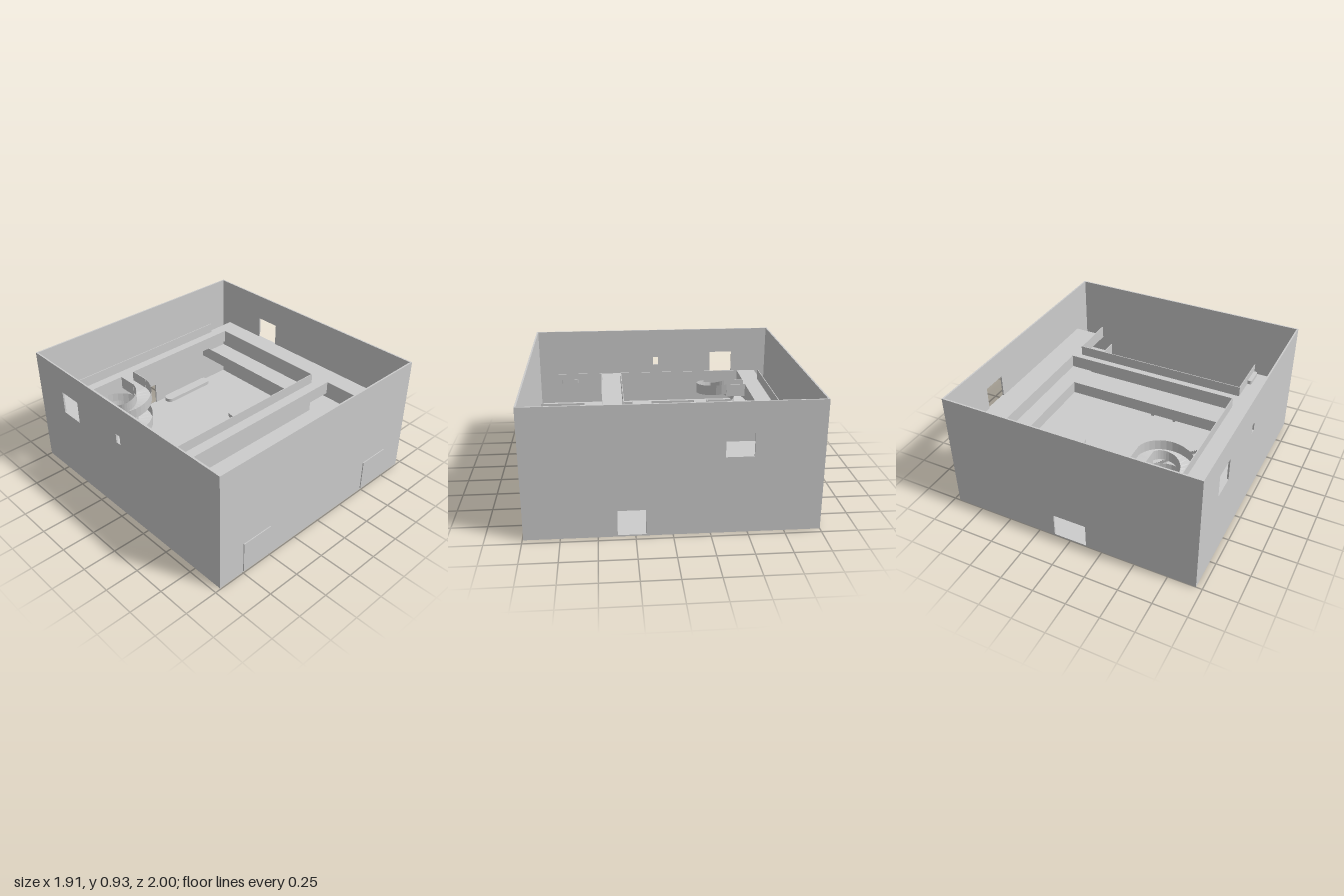
import * as THREE from 'three';

const concrete = new THREE.MeshStandardMaterial({ color: 0xcccccc, side: THREE.DoubleSide });
concrete.name = 'pale grey';

const UPPER = 0.55, MID = 0.29, SLAB = 0.02, RAIL = 0.08, WALL = 0.012;
const W = 0.955, BACK = -1, FRONT = 0.993, H = 0.93;

export function createModel() {
  const model = new THREE.Group();
  model.name = 'building';

  const add = (name, geometry, x = 0, y = 0, z = 0) => {
    const mesh = new THREE.Mesh(geometry, concrete);
    mesh.name = name;
    mesh.position.set(x, y, z);
    model.add(mesh);
    return mesh;
  };
  // Box given by its limits
  const box = (name, x0, x1, y0, y1, z0, z1) =>
    add(name, new THREE.BoxGeometry(x1 - x0, y1 - y0, z1 - z0), (x0 + x1) / 2, (y0 + y1) / 2, (z0 + z1) / 2);
  const polygon = pts => pts.map(([a, b]) => new THREE.Vector2(a, b));
  const rect = ([a0, a1, b0, b1]) => polygon([[a0, b0], [a1, b0], [a1, b1], [a0, b1]]);

  // Upright wall with rectangular openings
  const wall = (a0, a1, openings) => {
    const shape = new THREE.Shape(rect([a0, a1, 0, H]));
    openings.forEach(o => shape.holes.push(new THREE.Path(rect(o))));
    return new THREE.ExtrudeGeometry(shape, { depth: WALL, bevelEnabled: false });
  };
  // Horizontal plate from an outline in x and z, measured down from its top
  const plate = (name, shape, top, depth) =>
    add(name, new THREE.ExtrudeGeometry(shape, { depth, bevelEnabled: false, curveSegments: 10 }).rotateX(Math.PI / 2), 0, top);
  // Thin guard wall standing on a slab edge, fascia included
  const rail = (name, level, x0, z0, x1, z1) => {
    const t = 0.003;
    box(name, Math.min(x0, x1) - t, Math.max(x0, x1) + t, level - SLAB, level + RAIL, Math.min(z0, z1) - t, Math.max(z0, z1) + t);
  };
  // Low block with rounded ends
  const roundedBench = (name, x0, x1, z0, z1, top, height, r) => {
    const s = new THREE.Shape();
    s.absarc(x1 - r, z0 + r, r, -Math.PI / 2, 0);
    s.absarc(x1 - r, z1 - r, r, 0, Math.PI / 2);
    s.absarc(x0 + r, z1 - r, r, Math.PI / 2, Math.PI);
    s.absarc(x0 + r, z0 + r, r, Math.PI, Math.PI * 1.5);
    plate(name, s, top, height);
  };

  // Shell
  box('groundFloor', -W, W, 0, 0.01, BACK, FRONT);
  add('backWall', wall(-W, W, [[-0.125, 0.128, 0.01, 0.19]]), 0, 0, BACK);
  add('frontWall', wall(-W, W, []), 0, 0, FRONT - WALL);
  add('leftWall', wall(BACK, FRONT, [[-0.53, -0.34, 0.55, 0.725], [0.18, 0.37, 0.01, 0.19]]).rotateY(-Math.PI / 2), W);
  add('rightWall', wall(BACK, FRONT, [[-0.69, -0.5, 0.55, 0.725], [-0.045, 0, 0.62, 0.69]]).rotateY(-Math.PI / 2), -W + WALL);
  for (const s of [-1, 1]) {
    box('frontDoor', s * 0.62 - 0.125, s * 0.62 + 0.125, 0.012, 0.255, FRONT - 0.002, 1);
  }

  // Upper floor around the big opening
  const e = W - WALL, i = 0.69;
  const upper = new THREE.Shape(polygon([
    [-e, -0.9], [-i, -0.9], [-i, -0.88], [i, -0.88], [i, -0.9], [e, -0.9],
    [e, 0.81], [i, 0.81], [i, 0.45], [-i, 0.45], [-i, 0.81], [-e, 0.81]]));
  upper.holes.push(new THREE.Path(rect([-i, i, -0.7, 0.29])));
  plate('upperFloor', upper, UPPER, SLAB);

  // Middle floor: two side galleries joined by a bridge
  plate('middleFloor', new THREE.Shape(polygon([
    [-e, -0.985], [-i, -0.985], [-i, 0.29], [i, 0.29], [i, -0.985], [e, -0.985],
    [e, 0.97], [i, 0.97], [i, 0.6], [-i, 0.6], [-i, 0.97], [-e, 0.97]])), MID, SLAB);

  // Guard walls
  for (const s of [-1, 1]) {
    rail('upperGuard', UPPER, s * i, -0.7, s * i, 0.29);
    rail('upperFrontGuard', UPPER, s * i, 0.45, s * i, 0.81);
    rail('middleFrontGuard', MID, s * i, 0.6, s * i, 0.97);
  }
  for (const z of [-0.88, 0.29, 0.45]) rail('upperCrossGuard', UPPER, -i, z, i, z);
  rail('upperBackGuard', UPPER, -i, -0.7, -0.42, -0.7);
  rail('upperBackGuard', UPPER, -0.305, -0.7, i, -0.7);
  for (const z of [0.29, 0.6]) rail('middleCrossGuard', MID, -i, z, i, z);
  rail('middleGuard', MID, i, -0.985, i, 0.29);
  for (const [a, b] of [[-0.985, -0.45], [-0.335, 0.03], [0.2, 0.29]]) rail('middleGuard', MID, -i, a, -i, b);

  // Spiral ramp, a U-shaped channel turning one and a quarter times
  const cx = -0.52, cz = -0.55, r0 = 0.1, r1 = 0.215, steps = 40;
  const section = [[r0, RAIL], [r0, 0], [r1, 0], [r1, RAIL]];
  const at = (k, [r, dy]) => {
    const a = (k / steps) * Math.PI * 2.5;
    return [cx + r * Math.cos(a), UPPER + (MID - UPPER) * (k / steps) + dy, cz + r * Math.sin(a)];
  };
  const verts = [];
  for (let k = 0; k < steps; k++) {
    for (let j = 0; j < 3; j++) {
      const a = at(k, section[j]), b = at(k, section[j + 1]);
      const c = at(k + 1, section[j + 1]), d = at(k + 1, section[j]);
      verts.push(...a, ...c, ...b, ...a, ...d, ...c);
    }
  }
  const spiral = new THREE.BufferGeometry();
  spiral.setAttribute('position', new THREE.Float32BufferAttribute(verts, 3));
  spiral.computeVertexNormals();
  add('spiralRamp', spiral);

  // Landings at both ends of the spiral
  box('spiralTopLanding', -0.42, -0.305, UPPER - SLAB, UPPER, -0.7, cz);
  rail('spiralTopGuard', UPPER, -0.42, -0.7, -0.42, cz);
  rail('spiralTopGuard', UPPER, -0.305, -0.7, -0.305, cz);
  box('spiralLowerLanding', -i, cx, MID - SLAB, MID, -0.45, -0.335);
  rail('spiralLowerGuard', MID, -i, -0.45, cx, -0.45);
  rail('spiralLowerGuard', MID, -i, -0.335, cx, -0.335);

  // Curved stair from the middle floor to the ground
  box('stairLanding', -i, -0.57, MID - SLAB, MID, 0.03, 0.2);
  const treads = 28, sweep = Math.PI / 6, sx = -0.57, sz = -0.84;
  for (let k = 0; k < treads; k++) {
    const a0 = Math.PI / 2 - (k / treads) * sweep, a1 = a0 - sweep / treads;
    const p = (r, a) => [sx + r * Math.cos(a), sz + r * Math.sin(a)];
    const top = MID - (MID - 0.01) * (k + 1) / (treads + 1);
    plate('stairTread', new THREE.Shape(polygon([p(0.87, a1), p(1.04, a1), p(1.04, a0), p(0.87, a0)])),
      top, Math.min(0.03, top));
  }

  // Ground floor furniture
  add('roundPodium', new THREE.CylinderGeometry(0.17, 0.17, 0.04, 48), 0.15, 0.03, -0.16);
  roundedBench('longBench', 0.43, 0.57, -0.42, 0.05, 0.045, 0.036, 0.069);
  for (const s of [-1, 1]) {
    roundedBench('backBench', s * 0.445 - 0.245, s * 0.445 + 0.245, -0.98, -0.895, 0.04, 0.031, 0.04);
    box('frontBench', s * 0.335 - 0.077, s * 0.335 + 0.077, 0.01, 0.04, 0.78, 0.825);
    box('post', s * 0.1 - 0.013, s * 0.1 + 0.013, 0.01, MID - SLAB, 0.59, 0.62);
  }
  // Small seat against the upper guard wall
  roundedBench('upperSeat', -0.725, -0.685, 0.64, 0.79, UPPER + 0.03, 0.03, 0.015);

  return model;
}
